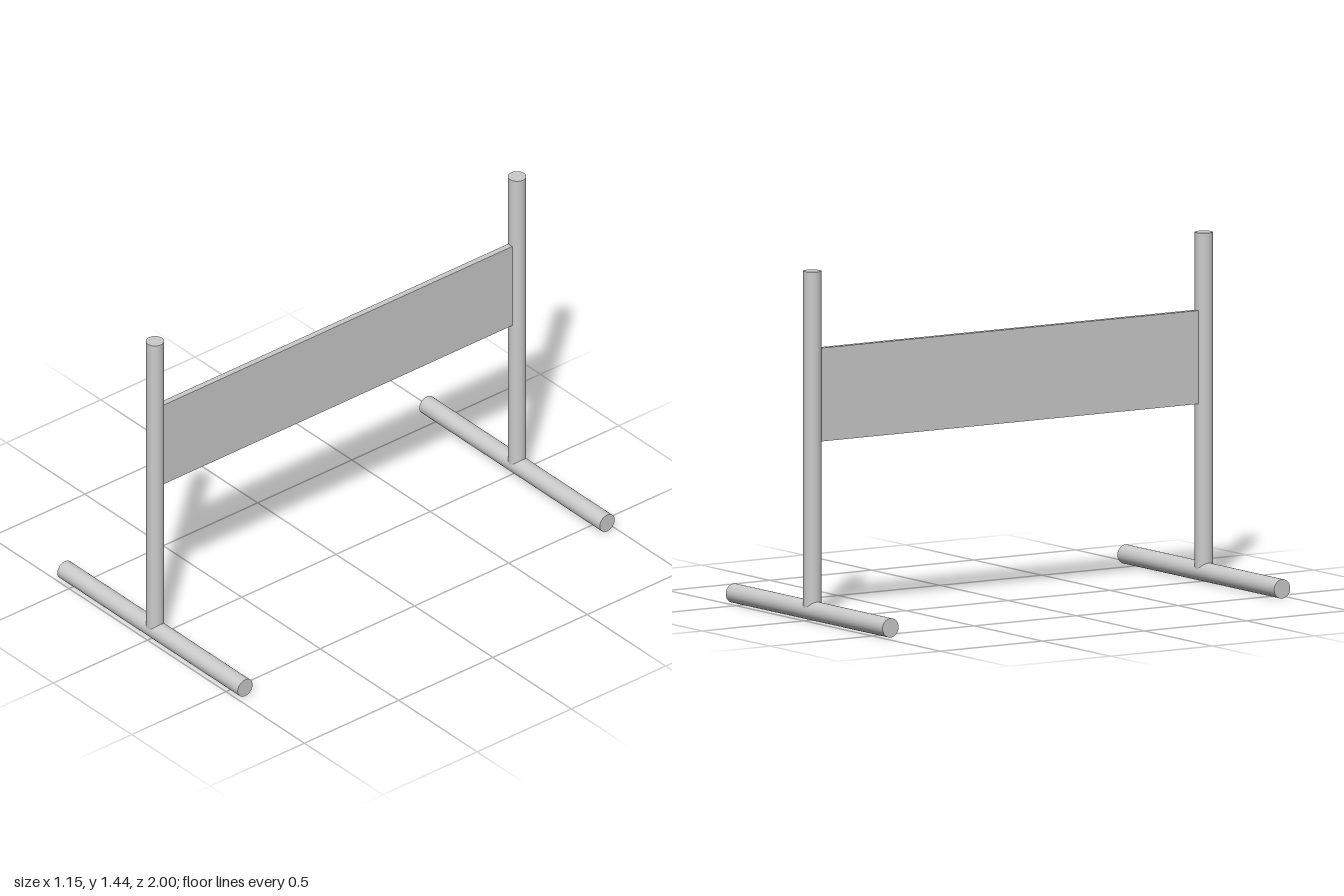
import * as THREE from 'three';

const FOOT_R = 0.0395, POST_R = 0.0375, FOOT_LENGTH = 1.15;
const HEIGHT = 1.44, END_Z = 1 - FOOT_R;

export function createModel() {
  const model = new THREE.Group();
  model.name = 'stand';
  const material = new THREE.MeshStandardMaterial({ color: 0xcccccc });

  const add = (parent, name, geometry, y) => {
    const mesh = new THREE.Mesh(geometry, material);
    mesh.name = name;
    mesh.position.y = y;
    parent.add(mesh);
    return mesh;
  };

  // Two T-shaped ends: a round post rising from a round floor bar
  const postLength = HEIGHT - FOOT_R;
  const postGeometry = new THREE.CylinderGeometry(POST_R, POST_R, postLength, 48);
  const footGeometry = new THREE.CylinderGeometry(FOOT_R, FOOT_R, FOOT_LENGTH, 48).rotateZ(Math.PI / 2);
  for (const side of [1, -1]) {
    const end = new THREE.Group();
    end.name = side > 0 ? 'frontEnd' : 'backEnd';
    end.position.z = side * END_Z;
    add(end, 'post', postGeometry, FOOT_R + postLength / 2);
    add(end, 'foot', footGeometry, FOOT_R);
    model.add(end);
  }

  // Thin board spanning between the posts
  const bottom = 0.735, top = 1.12;
  const boardLength = 2 * (END_Z - POST_R + 0.002);
  add(model, 'board', new THREE.BoxGeometry(0.026, top - bottom, boardLength), (top + bottom) / 2);

  return model;
}
